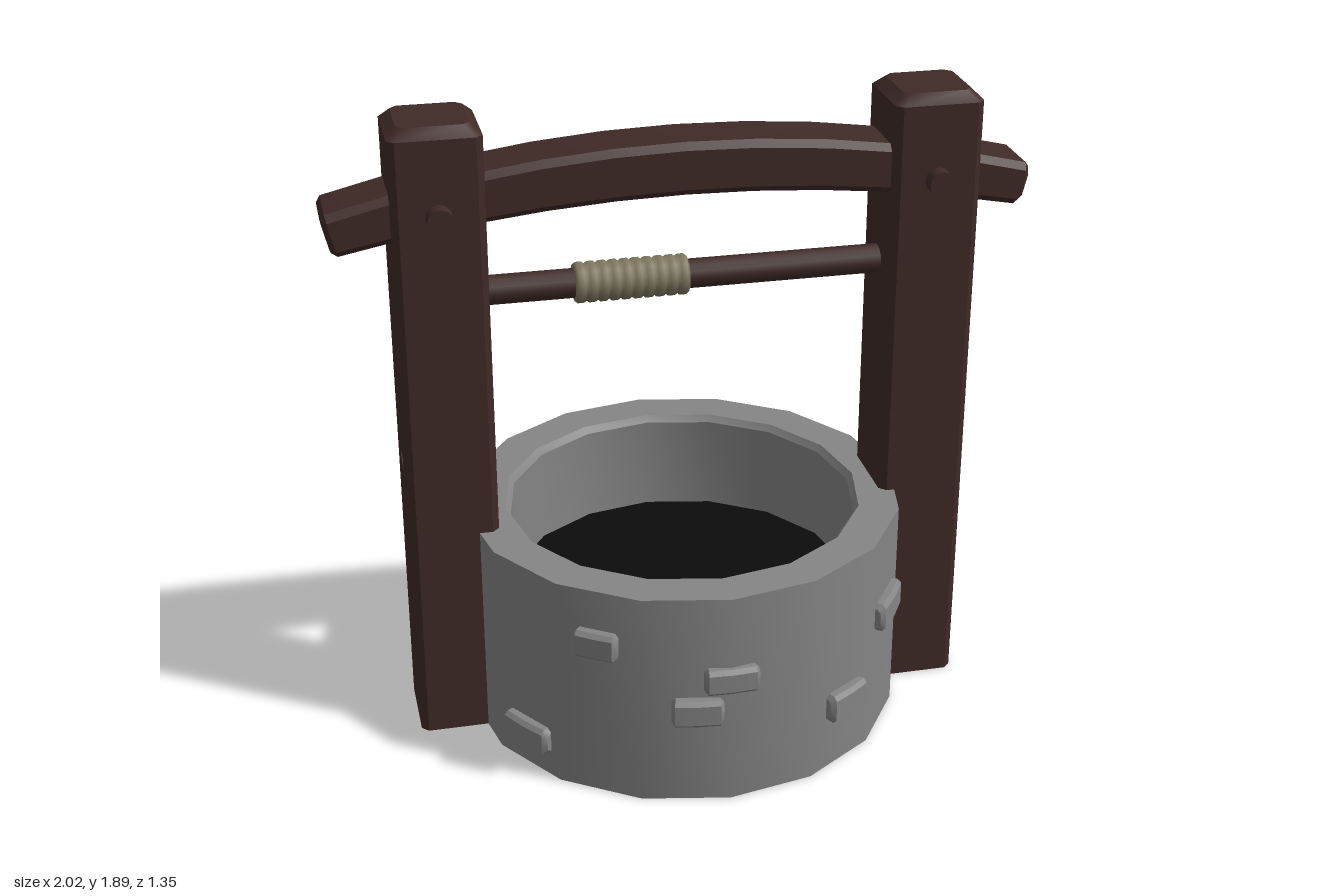
import * as THREE from 'three';
import { toCreasedNormals } from 'three/addons/utils/BufferGeometryUtils.js';

const V = (x, y, z) => new THREE.Vector3(x, y, z);
const mat = (color) => new THREE.MeshStandardMaterial({ color });
const wood = mat(0x3f2a27);
const stone = mat(0x858585);
const rope = mat(0x7f7860);
const dark = mat(0x0c0c0c);

// Solid skinned over chamfered rectangles {p, u, v, a, b, c}; travel runs along u x v
function loft(sections) {
  const pos = [];
  const index = [];
  for (const { p, u, v, a, b, c } of sections) {
    const ring = [[a, c - b], [a, b - c], [a - c, b], [c - a, b], [-a, b - c], [-a, c - b], [c - a, -b], [a - c, -b]];
    for (const [s, t] of ring) pos.push(...p.clone().addScaledVector(u, s).addScaledVector(v, t).toArray());
  }
  const last = (sections.length - 1) * 8;
  for (let i = 0; i < last; i += 8) {
    for (let j = 0; j < 8; j++) {
      const k = (j + 1) % 8;
      index.push(i + j, i + k, i + 8 + k, i + j, i + 8 + k, i + 8 + j);
    }
  }
  for (let j = 1; j < 7; j++) {
    index.push(0, j + 1, j, last, last + j, last + j + 1);
  }
  const geo = new THREE.BufferGeometry();
  geo.setAttribute('position', new THREE.Float32BufferAttribute(pos, 3));
  geo.setIndex(index);
  return toCreasedNormals(geo, 0.6);
}

// Upright post with chamfered edges and top
function postGeometry() {
  const level = (y, inset) => ({ p: V(0, y, 0), u: V(0, 0, 1), v: V(1, 0, 0), a: 0.13 - inset, b: 0.13 - inset, c: 0.02 });
  return loft([level(0, 0), level(1.86, 0), level(1.89, 0.03)]);
}

// Arched beam, a little thinner toward its ends
function beamGeometry() {
  const xs = [-1, -0.985, -0.8, -0.6, -0.4, -0.2, 0, 0.2, 0.4, 0.6, 0.8, 0.985, 1];
  return loft(xs.map((x) => {
    const slope = -0.244 * x;
    const inset = Math.abs(x) === 1 ? 0.012 : 0;
    return {
      p: V(x, 1.712 - 0.122 * x * x, 0),
      u: V(-slope, 1, 0).normalize(),
      v: V(0, 0, 1),
      a: 0.077 - 0.014 * x * x - inset,
      b: 0.1 - inset,
      c: 0.02,
    };
  }));
}

// Raised stone bent around the wall; angle is measured from +z toward +x
function stoneGeometry(angle, y, width, height) {
  const half = width / 2 / 0.66;
  return loft([-1, -0.85, 0, 0.85, 1].map((t) => {
    const a = angle + t * half;
    const r = V(Math.sin(a), 0, Math.cos(a));
    const inset = Math.abs(t) === 1 ? 0.012 : 0;
    return { p: r.clone().multiplyScalar(0.635).setY(y), u: V(0, 1, 0), v: r, a: height / 2 - inset, b: 0.042 - inset, c: 0.012 };
  }));
}

export function createModel() {
  const model = new THREE.Group();
  const add = (name, geo, material, x = 0, y = 0, z = 0, parent = model) => {
    const mesh = new THREE.Mesh(geo, material);
    mesh.name = name;
    mesh.position.set(x, y, z);
    parent.add(mesh);
    return mesh;
  };

  // Stone ring with closed base
  const well = new THREE.Group();
  well.name = 'well';
  well.position.x = 0.005;
  model.add(well);
  const profile = [[0, 0], [0.655, 0], [0.655, 0.66], [0.535, 0.66], [0.52, 0.64], [0.52, 0.3]]
    .map(([r, y]) => new THREE.Vector2(r, y));
  add('wellWall', toCreasedNormals(new THREE.LatheGeometry(profile, 16), 0.6), stone, 0, 0, 0, well);
  const water = new THREE.CircleGeometry(0.525, 16).rotateX(-Math.PI / 2);
  add('darkWater', water, dark, 0, 0.35, 0, well);

  // Raised stones: angle in degrees, height, width, tallness
  const stones = [
    [-34, 0.495, 0.13, 0.085], [0, 0.4, 0.16, 0.08], [-8.5, 0.3, 0.15, 0.085],
    [57, 0.4, 0.19, 0.09], [35, 0.205, 0.16, 0.09], [-56, 0.115, 0.18, 0.085],
    [145, 0.49, 0.16, 0.085], [170, 0.14, 0.15, 0.085], [215, 0.37, 0.16, 0.08],
    [203, 0.28, 0.16, 0.08], [225, 0.195, 0.18, 0.085],
  ];
  for (const [deg, y, w, h] of stones) {
    add('raisedStone', stoneGeometry(THREE.MathUtils.degToRad(deg), y, w, h), stone, 0, 0, 0, well);
  }

  // Posts, each with a peg through the beam and a side dowel
  for (const [side, x] of [[-1, -0.695], [1, 0.72]]) {
    add('post', postGeometry(), wood, x);
    add('peg', new THREE.CylinderGeometry(0.038, 0.038, 0.35, 12).rotateX(Math.PI / 2), wood, x, 1.64, 0);
    add('sideDowel', new THREE.CylinderGeometry(0.03, 0.03, 0.02, 12).rotateZ(Math.PI / 2), wood, x + side * 0.123, 0.85, 0);
  }
  add('archedBeam', beamGeometry(), wood);

  // Roller with wound rope
  add('roller', new THREE.CylinderGeometry(0.043, 0.043, 1.2, 12).rotateZ(Math.PI / 2), wood, 0.01, 1.365, 0);
  const turns = 10;
  const pitch = 0.33 / turns;
  const coil = [new THREE.Vector2(0.04, 0)];
  for (let i = 0; i < turns; i++) {
    for (const [r, t] of [[0.053, 0], [0.06, 0.25], [0.06, 0.75]]) coil.push(new THREE.Vector2(r, (i + t) * pitch));
  }
  coil.push(new THREE.Vector2(0.053, 0.33), new THREE.Vector2(0.04, 0.33));
  add('ropeCoil', new THREE.LatheGeometry(coil, 14).rotateZ(-Math.PI / 2), rope, -0.31, 1.365, 0);

  return model;
}
